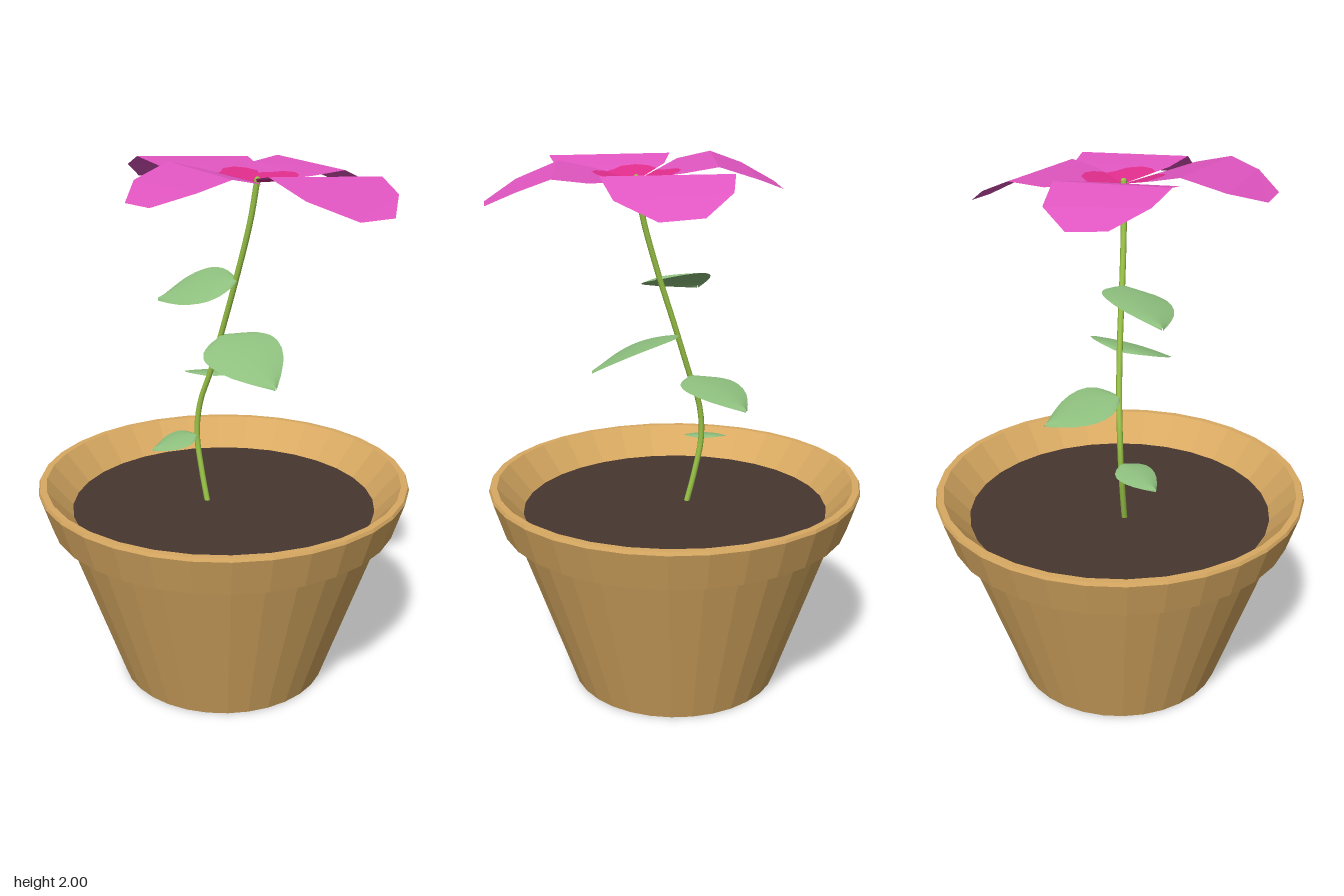
import * as THREE from 'three';

const mat = (name, color, side = THREE.FrontSide) =>
  Object.assign(new THREE.MeshStandardMaterial({ color, side }), { name });

// Mesh from a position list and an index; flat facets unless smooth is asked for
function surface(name, positions, index, material, smooth = false) {
  let geo = new THREE.BufferGeometry();
  geo.setAttribute('position', new THREE.Float32BufferAttribute(positions, 3));
  geo.setIndex(index);
  if (!smooth) geo = geo.toNonIndexed();
  geo.computeVertexNormals();
  const mesh = new THREE.Mesh(geo, material);
  mesh.name = name;
  return mesh;
}

const lerpTable = (table, x) => {
  for (let i = 1; i < table.length; i++) {
    const [x0, y0] = table[i - 1], [x1, y1] = table[i];
    if (x <= x1) return y0 + (y1 - y0) * (x - x0) / (x1 - x0);
  }
  return table[table.length - 1][1];
};

const CENTRE = [0.09, 0.115];
// Petal height by distance along its axis: rises, crests, then droops
const PETAL_HEIGHT = [[0, 1.925], [0.16, 1.96], [0.28, 1.982], [0.41, 1.935], [0.53, 1.872]];

// One folded petal, with its blotch at the inner end
function makePetal(angle, petalMat, blotchMat) {
  const group = new THREE.Group();
  group.name = 'petal';
  const wx = Math.sin(angle), wz = -Math.cos(angle);   // outward axis
  const place = ([u, r]) => {
    const dx = wx * r - wz * u, dz = wz * r + wx * u;
    return [CENTRE[0] + dx, lerpTable(PETAL_HEIGHT, r) - 0.06 * dx, CENTRE[1] + dz];
  };
  // inner fan, split into blotch and petal
  const rim = [[0.105, 0.16], [0.05, 0.16], [0, 0.16], [-0.06, 0.16], [-0.12, 0.16],
    [-0.19, 0.16], [-0.285, 0.16], [-0.175, 0.116]];
  const lobes = [0.135, 0.15, 0.155, 0.15, 0.135, 0.14, 0.145, 0.13];
  const cut = rim.map(([u, r], i) => {
    const s = lobes[i] / Math.hypot(u, r);
    return [u * s, r * s];
  });
  const fan = [], blade = [];
  const n = rim.length;
  for (let i = 0; i < n - 1; i++) {
    fan.push(0, i + 1, i + 2);
    blade.push(i, n + i, i + 1, i + 1, n + i, n + i + 1);
  }
  // outer folded bands
  const rows = [[[0.105, 0.16], [-0.285, 0.16]], [[0.13, 0.275], [-0.314, 0.285]],
    [[0.087, 0.425], [-0.296, 0.4]], [[-0.05, 0.525], [-0.197, 0.512]]];
  const start = 2 * n;
  for (let i = 0; i < rows.length - 1; i++) {
    const a = start + 2 * i;
    blade.push(a, a + 2, a + 1, a + 1, a + 2, a + 3);
  }
  group.add(
    surface('petalBlotch', [[0, 0], ...cut].flatMap(place), fan, blotchMat),
    surface('petalBlade', [...cut, ...rim, ...rows.flat()].flatMap(place), blade, petalMat));
  return group;
}

// Rounded, pointed leaf that droops from the stem to its tip
const LEAF_WIDTH = [[0, 0.1], [0.08, 0.5], [0.2, 0.83], [0.32, 0.98], [0.42, 1], [0.56, 0.92],
  [0.7, 0.74], [0.85, 0.42], [1, 0.02]];
function makeLeaf({ base, tip, half, roll }, material) {
  const dx = tip[0] - base[0], dz = tip[2] - base[2], len = Math.hypot(dx, dz);
  const rows = 16, cols = 8, pos = [], idx = [];
  for (let i = 0; i <= rows; i++) {
    const t = i / rows, w = half * lerpTable(LEAF_WIDTH, t);
    for (let j = 0; j <= cols; j++) {
      const s = j / cols * 2 - 1, u = s * w;
      pos.push(base[0] + dx * t - dz / len * u,
        base[1] + (tip[1] - base[1]) * t ** 1.7 + roll * u - 0.01 * s * s,
        base[2] + dz * t + dx / len * u);
      if (i < rows && j < cols) {
        const a = i * (cols + 1) + j, b = a + cols + 1;
        idx.push(a, a + 1, b, b, a + 1, b + 1);
      }
    }
  }
  return surface('leaf', pos, idx, material, true);
}

export function createModel() {
  const model = new THREE.Group();
  model.name = 'pottedFlower';
  const clay = mat('clay', 0xd9aa62);
  const earth = mat('soil', 0x46362f);
  const green = mat('stemGreen', 0x9cc648);
  const leafGreen = mat('leafGreen', 0x8fc17f, THREE.DoubleSide);
  const pink = mat('petalPink', 0xe055c0, THREE.DoubleSide);
  const crimson = mat('blotchPink', 0xe02d8c, THREE.DoubleSide);

  // Pot: tapered body, overhanging rim and sloped inner wall
  const profile = [[0, 0], [0.4, 0], [0.62, 0.645], [0.66, 0.645], [0.705, 0.788], [0.7, 0.8],
    [0.675, 0.8], [0.56, 0.667]].map(([x, y]) => new THREE.Vector2(x, y));
  const potGeo = new THREE.LatheGeometry(profile, 32).toNonIndexed();
  potGeo.computeVertexNormals();
  const pot = new THREE.Mesh(potGeo, clay);
  pot.name = 'pot';
  model.add(pot);

  // Soil
  const soil = new THREE.Mesh(new THREE.CircleGeometry(0.582, 32).rotateX(-Math.PI / 2), earth);
  soil.name = 'soil';
  soil.position.y = 0.69;
  model.add(soil);

  // Curved stem, closed at the top
  const path = new THREE.CatmullRomCurve3([
    [-0.055, 0.67, -0.03], [-0.072, 0.8, -0.06], [-0.085, 0.95, -0.085], [-0.073, 1.08, -0.078],
    [-0.042, 1.2, -0.048], [0, 1.4, 0.002], [0.038, 1.6, 0.055], [0.073, 1.8, 0.1],
    [0.09, 1.935, 0.117]].map(p => new THREE.Vector3(...p)));
  const stem = new THREE.Mesh(new THREE.TubeGeometry(path, 32, 0.011, 8), green);
  stem.name = 'stem';
  const cap = new THREE.Mesh(new THREE.SphereGeometry(0.011, 8, 6), green);
  cap.name = 'stemTip';
  cap.position.set(0.09, 1.935, 0.117);
  model.add(stem, cap);

  // Leaves up the stem
  [
    { base: [-0.085, 0.95, -0.085], tip: [-0.26, 0.903, -0.085], half: 0.083, roll: 0.04 },
    { base: [-0.042, 1.2, -0.048], tip: [0.1, 1.12, -0.29], half: 0.135, roll: 0.06 },
    { base: [-0.008, 1.36, -0.01], tip: [0.12, 1.237, 0.285], half: 0.155, roll: -0.15 },
    { base: [0.035, 1.58, 0.05], tip: [-0.235, 1.505, -0.035], half: 0.135, roll: 0.25 },
  ].forEach(leaf => model.add(makeLeaf(leaf, leafGreen)));

  // Four petals in a pinwheel
  const flower = new THREE.Group();
  flower.name = 'flower';
  for (let i = 0; i < 4; i++) flower.add(makePetal(-0.294 + i * Math.PI / 2, pink, crimson));
  model.add(flower);
  return model;
}
